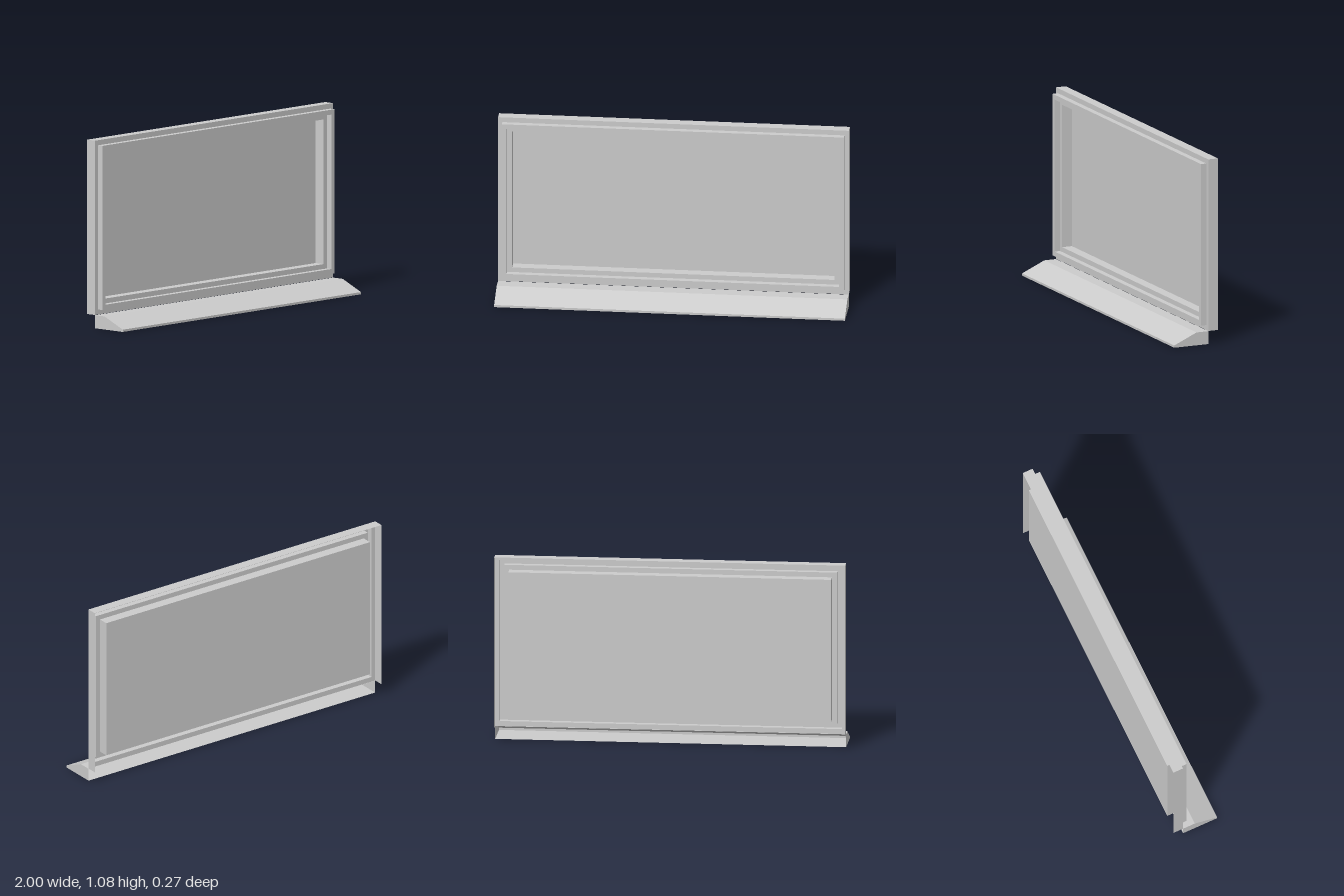
import * as THREE from 'three';

const material = new THREE.MeshStandardMaterial({ color: 0xcccccc, side: THREE.DoubleSide });
const BOTTOM = 0.076, TOP = 1.075, BACK = -0.138, FACE = -0.077, LIP = -0.043;

// Mesh from convex polygons (each a list of [x, y, z] corners), flat shaded
function polygonMesh(name, polygons) {
  const positions = [];
  for (const p of polygons) {
    for (let i = 1; i < p.length - 1; i++) positions.push(...p[0], ...p[i], ...p[i + 1]);
  }
  const geometry = new THREE.BufferGeometry();
  geometry.setAttribute('position', new THREE.Float32BufferAttribute(positions, 3));
  geometry.computeVertexNormals();
  const mesh = new THREE.Mesh(geometry, material);
  mesh.name = name;
  return mesh;
}

// Rectangle of four corners, inset from the outer frame, counter-clockwise from the front
function rectangle([insetX, insetY, z]) {
  const x = 1 - insetX, low = BOTTOM + insetY, high = TOP - insetY;
  return [[-x, low, z], [x, low, z], [x, high, z], [-x, high, z]];
}

// Bands joining successive rectangles; sides run bottom, right, top, left
function bands(steps, sides = [0, 1, 2, 3]) {
  const loops = steps.map(rectangle), polygons = [];
  for (let s = 0; s < loops.length - 1; s++) {
    const a = loops[s], b = loops[s + 1];
    for (const i of sides) {
      const j = (i + 1) % 4;
      polygons.push([a[i], a[j], b[j], b[i]]);
    }
  }
  return polygons;
}

export function createModel() {
  const group = new THREE.Group();
  group.name = 'window';
  const outer = [0, 0], sash = [0.025, 0.029], inner = [0.052, 0.057], glass = [0.08, 0.085];

  // Outer casing: open behind and below
  group.add(polygonMesh('outerFrame', [
    ...bands([[...outer, BACK], [...outer, FACE]], [1, 2, 3]),
    ...bands([[...outer, FACE], [...sash, FACE]]),
  ]));

  // Raised moulding around the opening
  group.add(polygonMesh('raisedMoulding', bands([
    [...sash, FACE], [...sash, LIP], [...inner, LIP], [...inner, FACE],
  ])));

  // Inner ledge and the walls of the recess
  group.add(polygonMesh('recess', bands([
    [...inner, FACE], [...glass, FACE], [...glass, BACK],
  ])));

  // Pane at the back of the recess
  group.add(polygonMesh('pane', [rectangle([...glass, BACK])]));

  // Sloping sill, open at the back: profile as [z, y]
  const profile = [[FACE, 0], [0.137, 0], [0.137, 0.013], [-0.003, 0.075], [FACE, 0.075]];
  const section = (x) => profile.map(([z, y]) => [x, y, z]);
  const left = section(1), right = section(-1);
  const sill = [right, [...left].reverse()];
  for (let i = 0; i < profile.length - 1; i++) {
    sill.push([right[i], left[i], left[i + 1], right[i + 1]]);
  }
  group.add(polygonMesh('sill', sill));

  return group;
}
